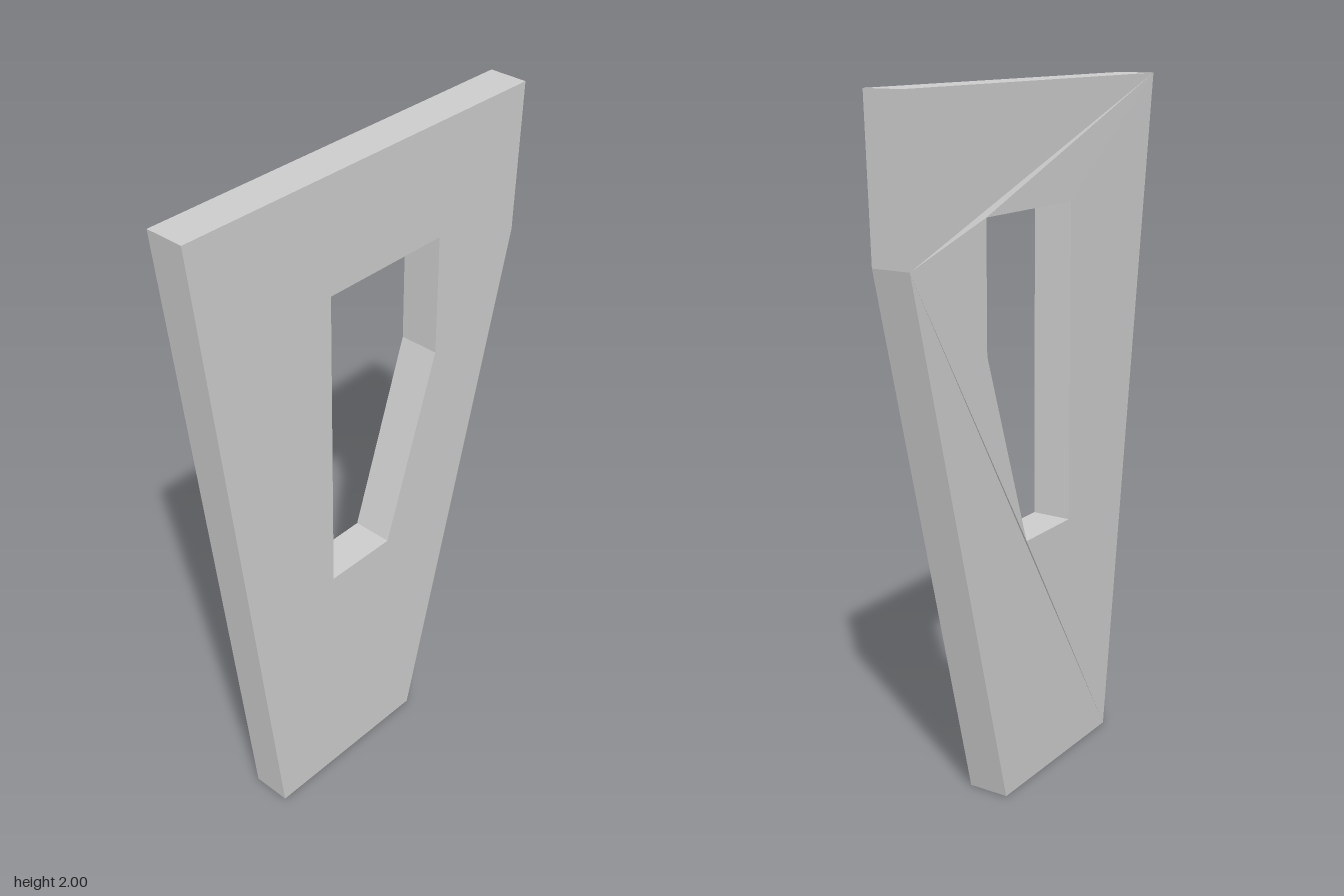
import * as THREE from 'three';

// Outline and window as [z, y] pairs
const OUTLINE = [[0.617, 2], [0.367, 0], [-0.2, 0], [-0.6, 1.57], [-0.617, 2]];
const WINDOW = [[0.142, 1.668], [-0.28, 1.668], [-0.28, 1.307], [-0.09, 0.742], [0.142, 0.742]];

const toPoints = (pairs) => pairs.map(([z, y]) => new THREE.Vector2(-z, y));
const { mapLinear } = THREE.MathUtils;

// x of the two broad faces at depth z: the plate is slightly skewed
const leftX = (z) => mapLinear(z, -0.617, 0.617, 0.05, 0.066);
const rightX = (z) => (z < -0.2
  ? mapLinear(z, -0.617, -0.2, -0.066, -0.068)
  : mapLinear(z, -0.2, 0.617, -0.068, -0.049));

export function createModel() {
  const group = new THREE.Group();
  group.name = 'taperedPlate';

  // Tapered plate with a window cut through it
  const shape = new THREE.Shape(toPoints(OUTLINE));
  shape.holes.push(new THREE.Path(toPoints(WINDOW)));
  const geometry = new THREE.ExtrudeGeometry(shape, { depth: 1, bevelEnabled: false });
  geometry.rotateY(Math.PI / 2);

  // Move both faces to their skewed positions
  const pos = geometry.attributes.position;
  for (let i = 0; i < pos.count; i++) {
    const z = pos.getZ(i);
    pos.setX(i, pos.getX(i) > 0.5 ? leftX(z) : rightX(z));
  }
  geometry.computeVertexNormals();

  const plate = new THREE.Mesh(
    geometry,
    new THREE.MeshStandardMaterial({ color: 0xcccccc, flatShading: true }),
  );
  plate.name = 'plate';
  group.add(plate);
  return group;
}
